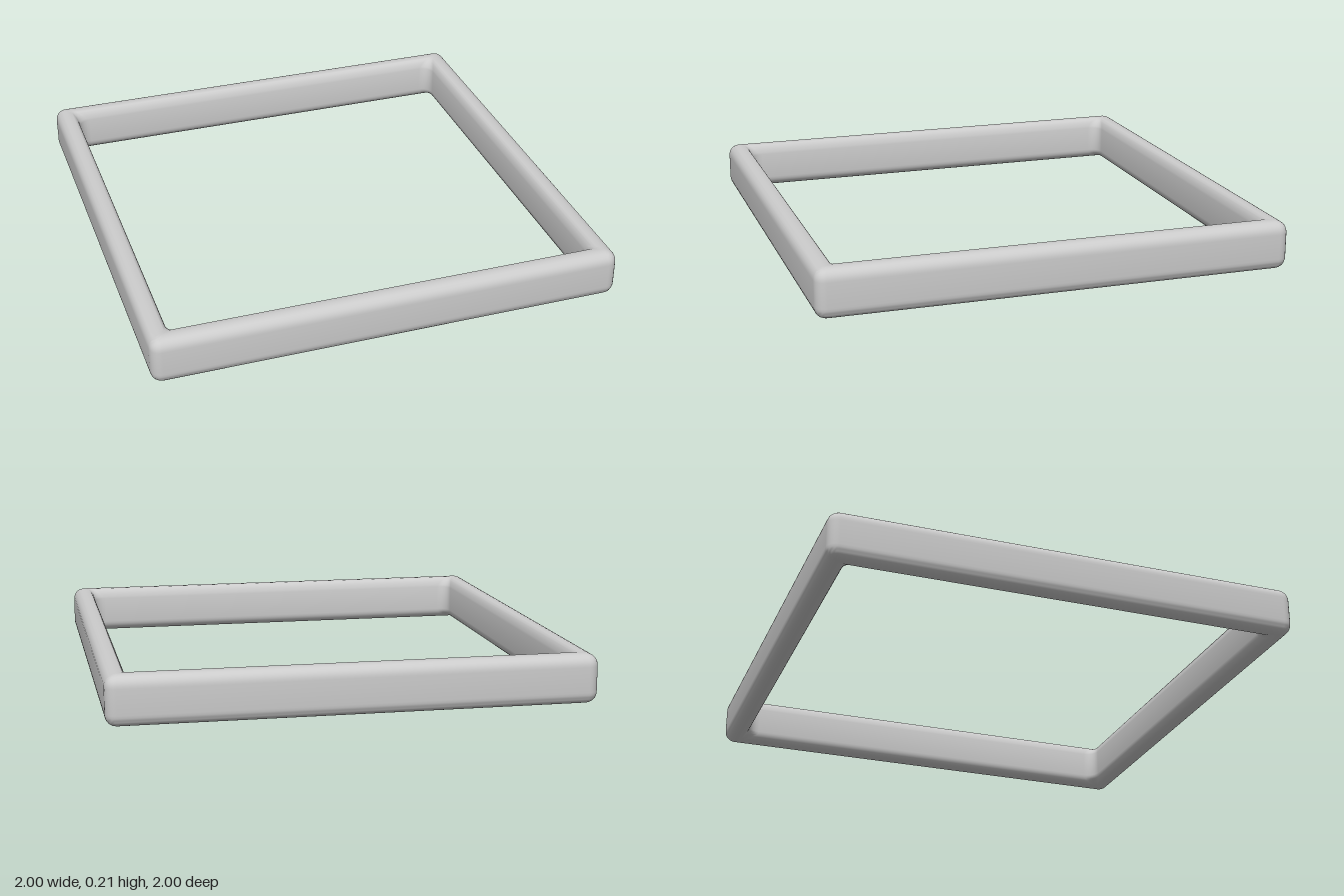
import * as THREE from 'three';
import { toCreasedNormals } from 'three/addons/utils/BufferGeometryUtils.js';

const CORNER_STEPS = 6;

// Bar cross-section: d = distance in from the outer wall, y = height.
function barProfile() {
  const s = new THREE.Shape();
  s.moveTo(0, 0.05);
  s.lineTo(0, 0.155);
  s.bezierCurveTo(0, 0.185, 0.02, 0.205, 0.05, 0.206);
  s.lineTo(0.07, 0.206);
  s.quadraticCurveTo(0.088, 0.2, 0.095, 0.16);
  s.lineTo(0.095, 0.045);
  s.bezierCurveTo(0.095, 0.018, 0.075, 0, 0.055, 0);
  s.lineTo(0.045, 0);
  s.bezierCurveTo(0.02, 0, 0, 0.02, 0, 0.05);
  const points = s.getPoints(8);
  points.pop(); // the profile closes on its first point
  return points;
}

// Plan corner radius: round on both walls, nearly a sharp mitre along the crest.
function cornerRadius(d) {
  return d < 0.07
    ? Math.max(0.01, 0.045 - d * 0.8)
    : THREE.MathUtils.mapLinear(d, 0.07, 0.095, 0.01, 0.055);
}

// Sweeps the cross-section round a square with rounded corners.
function frameGeometry() {
  const profile = barProfile();
  const n = profile.length;
  const positions = [];
  const index = [];
  for (let corner = 0; corner < 4; corner++) {
    const sx = corner === 0 || corner === 3 ? 1 : -1;
    const sz = corner < 2 ? 1 : -1;
    for (let step = 0; step <= CORNER_STEPS; step++) {
      const a = (corner + step / CORNER_STEPS) * Math.PI / 2;
      for (const { x: d, y } of profile) {
        const r = cornerRadius(d);
        const c = 1 - d - r;
        positions.push(sx * c + r * Math.cos(a), y, sz * c + r * Math.sin(a));
      }
    }
  }
  const rings = 4 * (CORNER_STEPS + 1);
  for (let i = 0; i < rings; i++) {
    const next = (i + 1) % rings;
    for (let j = 0; j < n; j++) {
      const k = (j + 1) % n;
      const a = i * n + j, b = i * n + k, c = next * n + j, e = next * n + k;
      index.push(a, b, c, b, e, c);
    }
  }
  const geometry = new THREE.BufferGeometry();
  geometry.setAttribute('position', new THREE.Float32BufferAttribute(positions, 3));
  geometry.setIndex(index);
  return toCreasedNormals(geometry, Math.PI / 5);
}

export function createModel() {
  const group = new THREE.Group();
  group.name = 'squareFrame';
  const frame = new THREE.Mesh(
    frameGeometry(),
    new THREE.MeshStandardMaterial({ color: 0xcccccc })
  );
  frame.name = 'frameRim';
  group.add(frame);
  return group;
}
